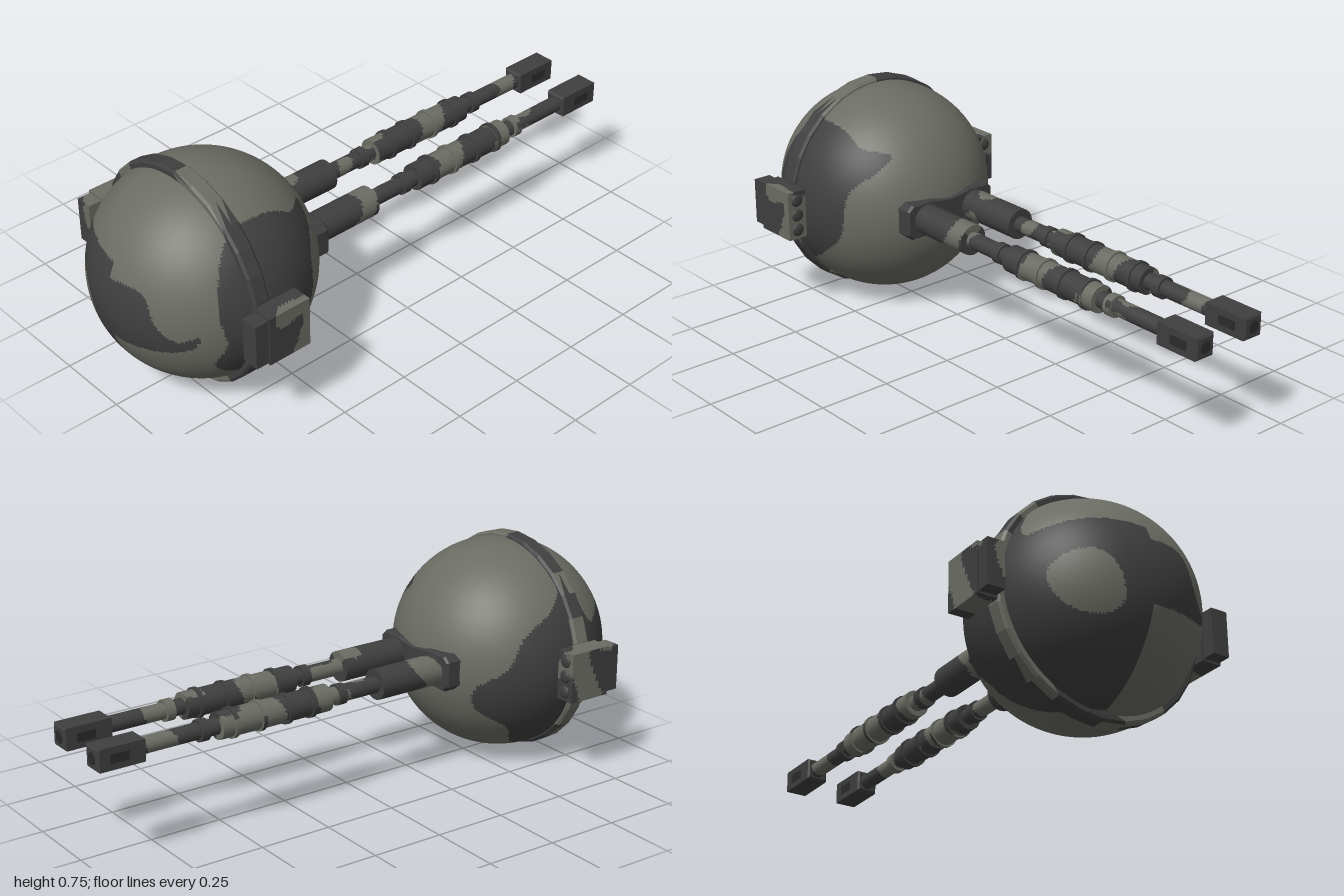
import * as THREE from 'three';

const mat = (name, color) => {
  const m = new THREE.MeshStandardMaterial({ color });
  m.name = name;
  return m;
};

const CX = -0.64, CY = 0.375, R = 0.36;

// Closed smooth outline through [x, y] points
const outline = pts => new THREE.CatmullRomCurve3(
  pts.map(p => new THREE.Vector3(p[0], p[1], 0)), true).getPoints(80);

const inside = (poly, x, y) => {
  let hit = false;
  for (let i = 0, j = poly.length - 1; i < poly.length; j = i++) {
    const a = poly[i], b = poly[j];
    if ((a.y > y) !== (b.y > y) && x < (b.x - a.x) * (y - a.y) / (b.y - a.y) + a.x) hit = !hit;
  }
  return hit;
};

// Camouflage outlines on the front and back halves of the ball
const frontPatch = outline([[-0.68, 0.65], [-0.55, 0.64], [-0.47, 0.6], [-0.39, 0.58], [-0.4, 0.53],
  [-0.45, 0.47], [-0.46, 0.38], [-0.48, 0.3], [-0.56, 0.23], [-0.66, 0.17], [-0.75, 0.17],
  [-0.82, 0.23], [-0.8, 0.32], [-0.82, 0.43], [-0.79, 0.55], [-0.74, 0.62]]);
const frontHook = outline([[-1.03, 0.45], [-0.965, 0.49], [-0.955, 0.39], [-0.92, 0.34],
  [-0.87, 0.36], [-0.88, 0.32], [-0.93, 0.29], [-1.03, 0.28]]);
const backPatch = outline([[-0.71, 0.63], [-0.6, 0.56], [-0.5, 0.5], [-0.44, 0.4], [-0.36, 0.32],
  [-0.38, 0.24], [-0.48, 0.17], [-0.53, 0.1], [-0.62, 0.04], [-0.75, 0.03], [-0.9, 0.08],
  [-1.03, 0.2], [-1.04, 0.45], [-0.95, 0.54], [-0.86, 0.52], [-0.78, 0.5]]);
const island = new THREE.Vector3(-0.3, -0.045, -0.19).normalize();

const ballIsDark = c => {
  if (c.z > 0) return inside(frontPatch, c.x, c.y) || inside(frontHook, c.x, c.y);
  const d = new THREE.Vector3(c.x - CX, c.y - CY, c.z).normalize();
  const wobble = 0.3 + 0.05 * Math.sin(d.y * 9 + d.z * 5);
  return inside(backPatch, c.x, c.y) && d.angleTo(island) > wobble;
};

// Small irregular blotches for the fittings; a higher bias gives more dark
const blotches = bias => c =>
  Math.sin(c.x * 19 + c.z * 13 + 1) + Math.sin(c.y * 23 - c.x * 31 + c.z * 17) * 0.7
  + Math.sin(c.z * 29 + c.y * 14) * 0.5 < bias;

export function createModel() {
  const light = mat('greyGreenPaint', 0x6b6d64);
  const dark = mat('charcoalPaint', 0x3f3f3f);
  const black = mat('blackMetal', 0x2b2b2b);
  const model = new THREE.Group();
  model.name = 'twinGunTurret';

  const add = (name, geo, material, parent = model) => {
    const mesh = new THREE.Mesh(geo, material);
    mesh.name = name;
    parent.add(mesh);
    return mesh;
  };

  // Sort triangles into two paint groups by a rule on their centres
  const addCamo = (name, geo, isDark, parent = model, flat = false) => {
    const g = geo.index ? geo.toNonIndexed() : geo;
    if (flat) g.computeVertexNormals();
    const p = g.attributes.position, c = new THREE.Vector3(), v = new THREE.Vector3();
    const sets = [[], []];
    for (let i = 0; i < p.count; i += 3) {
      c.set(0, 0, 0);
      for (let k = 0; k < 3; k++) c.add(v.fromBufferAttribute(p, i + k));
      sets[isDark(c.divideScalar(3)) ? 1 : 0].push(i, i + 1, i + 2);
    }
    g.clearGroups();
    g.setIndex(sets[0].concat(sets[1]));
    g.addGroup(0, sets[0].length, 0);
    g.addGroup(sets[0].length, sets[1].length, 1);
    return add(name, g, [light, dark], parent);
  };

  // Ball body
  const ball = new THREE.SphereGeometry(R, 192, 120);
  ball.translate(CX, CY, 0);
  addCamo('ballBody', ball, ballIsDark);

  // Raised band around the ball, with bevelled rims
  const band = new THREE.LatheGeometry([[0.33, -0.03], [0.365, -0.03], [0.373, -0.022], [0.373, 0],
    [0.373, 0.022], [0.365, 0.03], [0.33, 0.03]].map(p => new THREE.Vector2(...p)), 28);
  band.rotateZ(-Math.PI / 2);
  band.translate(-0.7, CY, 0);
  addCamo('band', band, blotches(0.3), model, true);

  // Launcher pod on each side of the band
  for (const s of [1, -1]) {
    const pod = new THREE.Group();
    pod.name = s > 0 ? 'frontPod' : 'backPod';
    model.add(pod);
    const box = (name, w, h, d, x) => {
      const g = new THREE.BoxGeometry(w, h, d, 12, 12, 6);
      g.translate(x, CY, s * 0.41);
      addCamo(name, g, blotches(0.2), pod);
    };
    box('podBody', 0.155, 0.17, 0.07, -0.665);
    box('podRearCap', 0.05, 0.155, 0.06, -0.765);
    const arm = new THREE.BoxGeometry(0.05, 0.05, 0.06);
    arm.translate(-0.7, CY, s * 0.36);
    add('podArm', arm, dark, pod);
    for (const y of [-0.053, 0, 0.053]) {
      const tip = new THREE.SphereGeometry(0.022, 16, 8, 0, Math.PI * 2, 0, Math.PI / 2);
      tip.rotateZ(-Math.PI / 2);
      tip.scale(0.4, 1, 1);
      tip.translate(-0.5875, CY + y, s * 0.41);
      add('warheadTip', tip, dark, pod);
    }
  }

  // Waisted mount plate behind the guns
  const half = [[0, 0.044], [0.05, 0.05], [0.08, 0.056], [0.158, 0.056], [0.175, 0.04],
    [0.175, -0.04], [0.158, -0.056], [0.08, -0.056], [0.05, -0.05], [0, -0.044]];
  const mirrored = half.slice(1, -1).reverse().map(([x, y]) => [-x, y]);
  const plate = new THREE.ExtrudeGeometry(
    new THREE.Shape([...half, ...mirrored].map(p => new THREE.Vector2(...p))),
    { depth: 0.11, bevelEnabled: true, bevelSize: 0.006, bevelThickness: 0.008, bevelSegments: 1 });
  plate.rotateY(Math.PI / 2);
  plate.translate(-0.395, CY, 0);
  add('gunMount', plate, dark);

  // Gun sections: name, start x, end x, radius, darkness
  const sections = [
    ['breech', -0.29, -0.04, 0.052, 1.0],
    ['innerBarrel', -0.04, 0.155, 0.028, 0.6],
    ['innerCollar', 0.09, 0.12, 0.035, 2],
    ['sleeve', 0.155, 0.565, 0.045, 0.3],
    ['outerBarrel', 0.565, 0.835, 0.027, 0.9],
    ['outerCollar', 0.605, 0.635, 0.036, 0.3],
    ...[0.225, 0.315, 0.415, 0.515].map(x => ['sleeveRing', x - 0.007, x + 0.007, 0.051, 0.8]),
  ];
  for (const s of [1, -1]) {
    const gun = new THREE.Group();
    gun.name = s > 0 ? 'frontGun' : 'backGun';
    model.add(gun);
    const z = s * 0.102;
    for (const [name, x0, x1, r, bias] of sections) {
      const g = new THREE.CylinderGeometry(r, r, x1 - x0, 24, Math.ceil((x1 - x0) / 0.012));
      g.rotateZ(-Math.PI / 2);
      g.translate((x0 + x1) / 2, CY, z);
      addCamo(name, g, blotches(bias), gun);
    }
    // Square muzzle brake with chamfered ends, side slots and bore
    const sq = 0.031;
    const muzzle = new THREE.ExtrudeGeometry(new THREE.Shape([[-sq, -sq], [sq, -sq], [sq, sq], [-sq, sq]]
      .map(p => new THREE.Vector2(...p))),
      { depth: 0.155, bevelEnabled: true, bevelSize: 0.006, bevelThickness: 0.005, bevelSegments: 1 });
    muzzle.rotateY(Math.PI / 2);
    muzzle.translate(0.838, CY, z);
    add('muzzleBrake', muzzle, dark, gun);
    for (const side of [1, -1]) {
      const slot = new THREE.BoxGeometry(0.065, 0.03, 0.004);
      slot.translate(0.925, CY, z + side * 0.037);
      add('muzzleSlot', slot, black, gun);
    }
    const bore = new THREE.CylinderGeometry(0.02, 0.02, 0.004, 20);
    bore.rotateZ(Math.PI / 2);
    bore.translate(0.998, CY, z);
    add('bore', bore, black, gun);
  }
  return model;
}
